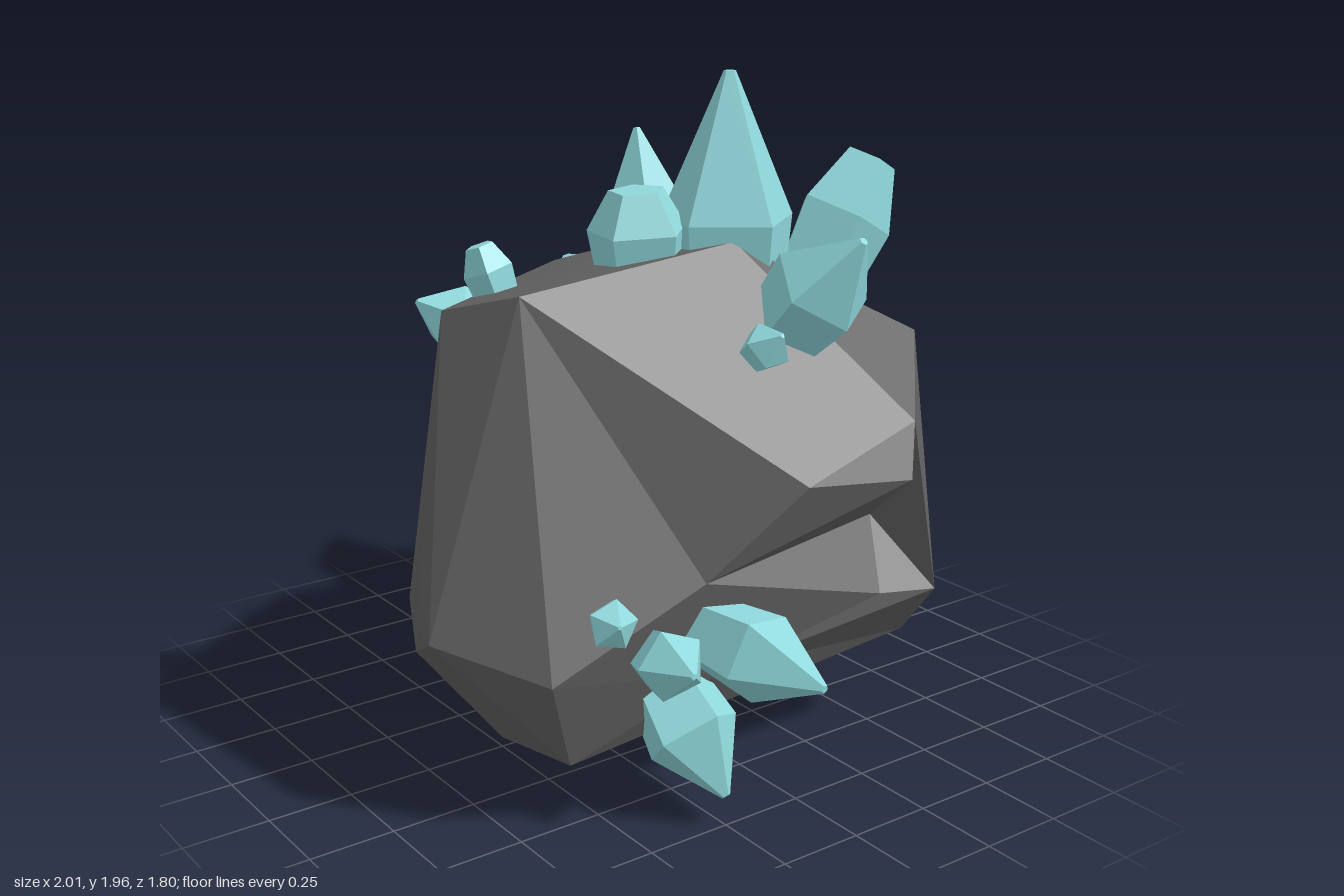
import * as THREE from 'three';
import { ConvexGeometry } from 'three/addons/geometries/ConvexGeometry.js';

const V = (p) => new THREE.Vector3(...p);

// Main corners of the boulder
const corners = [
  // top plateau
  [-0.02, 1.34, 0.65], [0.22, 1.41, 0.55], [0.29, 1.49, -0.12], [-0.51, 1.31, -0.04], [-0.3, 1.41, -0.39],
  // back
  [0.49, 1.2, -0.64], [0.17, 0.94, -0.81], [0.1, 0.46, -0.9], [-0.55, 1.11, -0.67],
  // right side
  [0.8, 0.88, -0.35], [0.75, 0.91, -0.02], [0.69, 0.47, -0.57], [0.56, 0.3, -0.57],
  // left side
  [-0.85, 0.71, -0.3], [-0.75, 0.6, 0.13], [-0.49, 0.31, 0.53],
  // front and underside
  [0.3, 0.53, 0.9], [0.57, 0.45, 0.69], [0.25, 0.17, 0.65], [0.5, 0.17, 0.59],
  [-0.05, 0.06, 0.3], [-0.41, 0.08, 0.2], [-0.3, 0.18, -0.43],
];

// Dents: a point on the hull, then where it is pushed in to
const dents = [
  // pocket in the right side
  [[0.76, 1.02, -0.44], [0.73, 1.02, -0.42]],
  [[0.75, 0.67, 0.25], [0.64, 0.66, 0.24]],
  [[0.775, 0.7, -0.42], [0.51, 0.67, -0.47]],
  [[0.73, 0.51, -0.36], [0.66, 0.49, -0.38]],
  [[0.68, 0.37, 0.14], [0.59, 0.36, 0.14]],
  // notch in the front
  [[-0.08, 0.77, 0.79], [-0.08, 0.77, 0.69]],
  [[-0.03, 0.42, 0.82], [-0.03, 0.42, 0.75]],
  [[-0.2, 0.27, 0.74], [-0.2, 0.27, 0.67]],
  [[-0.1, 0.48, 0.791], [-0.08, 0.47, 0.58]],
];

function rockGeometry() {
  const geo = new ConvexGeometry([...corners, ...dents.map((d) => d[0])].map(V));
  const pos = geo.attributes.position;
  const p = new THREE.Vector3();
  for (let i = 0; i < pos.count; i++) {
    p.fromBufferAttribute(pos, i);
    const dent = dents.find((d) => V(d[0]).distanceTo(p) < 1e-4);
    if (dent) pos.setXYZ(i, ...dent[1]);
  }
  geo.computeVertexNormals();
  return geo;
}

// Five-sided crystal: tapered shaft, shoulder, then a point or a blunt tip
function crystal(base, tip, radius, blunt, material, spin) {
  const a = V(base), dir = V(tip).sub(a), len = dir.length();
  const shape = blunt
    ? [[0, 0], [0.72, 0], [1, 0.7], [0.55, 1], [0, 1]]
    : [[0, 0], [0.75, 0], [1, 0.56], [0.09, 1], [0, 1]];
  const profile = shape.map(([r, h]) => new THREE.Vector2(r * radius, h * len));
  const mesh = new THREE.Mesh(new THREE.LatheGeometry(profile, 5, spin), material);
  mesh.position.copy(a);
  mesh.quaternion.setFromUnitVectors(new THREE.Vector3(0, 1, 0), dir.normalize());
  return mesh;
}

// Crystal clusters: base, tip, radius, blunt
const clusters = {
  topCrystals: [
    [[0.16, 1.0, -0.2], [0.16, 1.95, -0.2], 0.2, false],
    [[-0.04, 1.3, -0.08], [-0.11, 1.77, -0.07], 0.11, false],
    [[0.1, 1.25, 0.06], [0.1, 1.63, 0.08], 0.15, true],
    [[0.2, 1.13, -0.38], [0.24, 1.67, -0.67], 0.15, true],
  ],
  upperRightCrystals: [
    [[0.37, 1.2, -0.2], [0.68, 1.54, -0.25], 0.15, false],
    [[0.46, 1.2, -0.05], [0.59, 1.29, -0.05], 0.07, false],
  ],
  leftCrystals: [
    [[-0.55, 0.97, -0.29], [-1, 1.19, -0.41], 0.17, false],
    [[-0.54, 1.04, -0.5], [-0.72, 1.23, -0.53], 0.1, true],
    [[-0.55, 1.05, -0.28], [-0.63, 1.33, -0.3], 0.075, false],
    [[-0.72, 0.85, -0.16], [-0.84, 0.79, -0.18], 0.06, true],
  ],
  upperFrontCrystals: [
    [[-0.18, 1.2, 0.4], [-0.23, 1.32, 0.61], 0.1, false],
    [[-0.08, 1.25, 0.4], [-0.13, 1.48, 0.46], 0.075, true],
  ],
  lowerRightCrystals: [
    [[0.5, 0.5, 0.21], [1, 0.46, 0.13], 0.13, false],
    [[0.52, 0.45, 0.35], [0.81, 0.5, 0.41], 0.1, false],
    [[0.54, 0.58, 0.5], [0.65, 0.61, 0.53], 0.07, false],
    [[0.46, 0.39, 0.29], [0.75, 0.08, 0.25], 0.14, false],
  ],
  lowerBackCrystals: [
    [[-0.1, 0.42, -0.46], [-0.13, 0, -0.74], 0.15, false],
    [[0.13, 0.36, -0.4], [0.15, 0.14, -0.5], 0.1, true],
    [[-0.35, 0.45, -0.55], [-0.39, 0.33, -0.67], 0.06, false],
  ],
  lowerLeftCrystals: [
    [[-0.47, 0.42, 0], [-0.65, 0.11, 0.03], 0.145, true],
    [[-0.52, 0.45, -0.08], [-0.74, 0.27, -0.11], 0.1, true],
  ],
};

export function createModel() {
  const model = new THREE.Group();
  const rockMat = new THREE.MeshStandardMaterial({ color: 0x616161, flatShading: true });
  const crystalMat = new THREE.MeshStandardMaterial({ color: 0x8fd8dc, flatShading: true });

  const rock = new THREE.Mesh(rockGeometry(), rockMat);
  rock.name = 'rock';
  model.add(rock);

  for (const [name, list] of Object.entries(clusters)) {
    const group = new THREE.Group();
    group.name = name;
    list.forEach(([base, tip, radius, blunt], i) => {
      const mesh = crystal(base, tip, radius, blunt, crystalMat, Math.PI / 2 + i * 0.7);
      mesh.name = 'crystal';
      group.add(mesh);
    });
    model.add(group);
  }
  return model;
}
